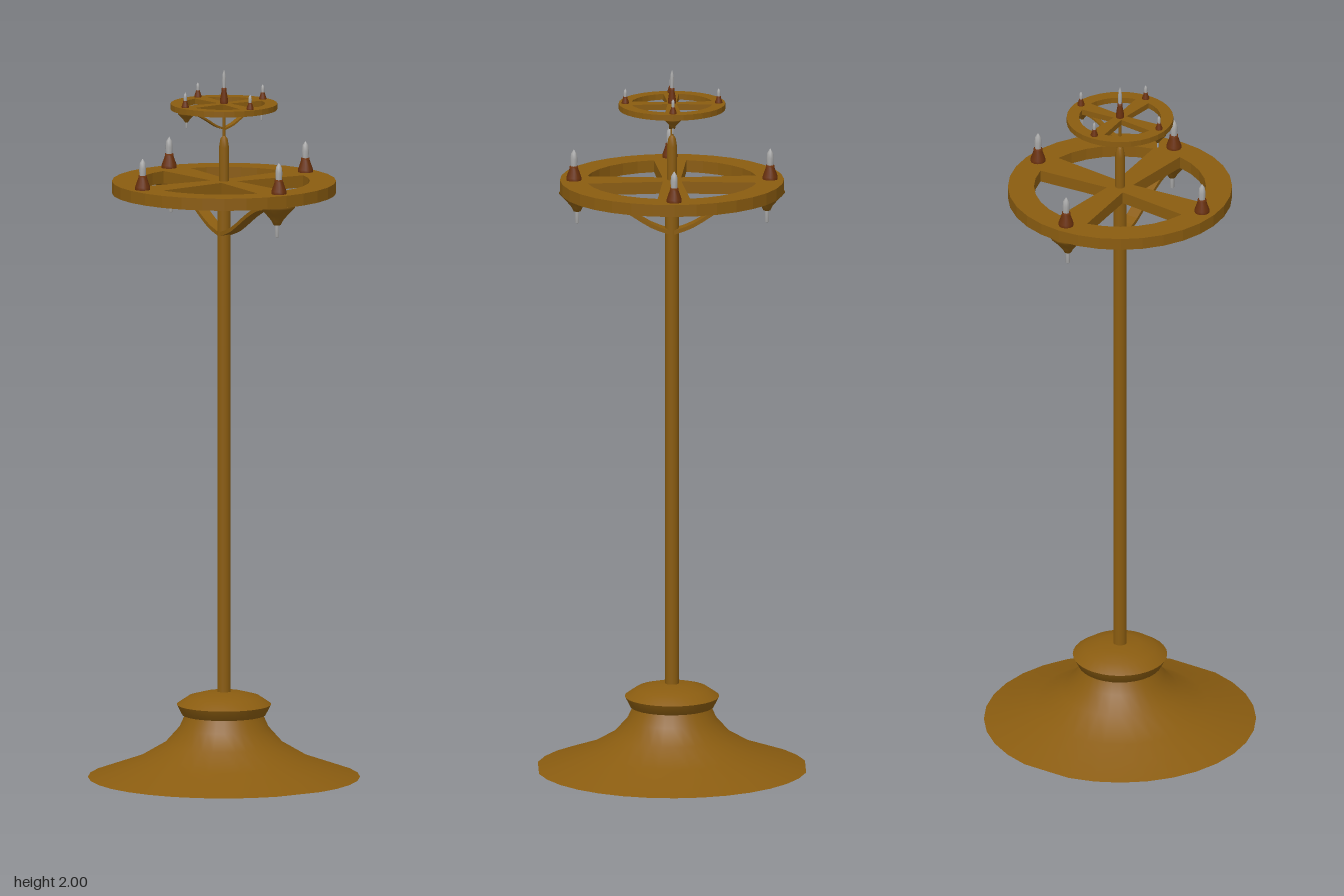
import * as THREE from 'three';

const wood = new THREE.MeshStandardMaterial({ name: 'brownWood', color: 0x8a5c10, side: THREE.DoubleSide });
const rust = new THREE.MeshStandardMaterial({ name: 'redBrownHolder', color: 0x69300c });
const silver = new THREE.MeshStandardMaterial({ name: 'paleGrey', color: 0xa9a9a9 });

function add(parent, name, geometry, material, x = 0, y = 0, z = 0) {
  const mesh = new THREE.Mesh(geometry, material);
  mesh.name = name;
  mesh.position.set(x, y, z);
  parent.add(mesh);
  return mesh;
}

function lathe(points, sides) {
  return new THREE.LatheGeometry(points.map(([r, y]) => new THREE.Vector2(r, y)), sides);
}

// Wheel with a rim and four spokes that widen outwards
function wheelGeometry() {
  const shape = new THREE.Shape().absarc(0, 0, 0.313, 0, Math.PI * 2);
  const edge = Math.atan2(0.045, 0.235);
  for (let i = 0; i < 4; i++) {
    const turn = i * Math.PI / 2;
    const points = [[0.0265, Math.PI / 4 + turn]];
    points[0][0] *= Math.SQRT2;
    for (let k = 0; k <= 6; k++) {
      points.push([0.24, turn + edge + (Math.PI / 2 - 2 * edge) * k / 6]);
    }
    shape.holes.push(new THREE.Path(points.map(([r, a]) =>
      new THREE.Vector2(r * Math.cos(a), r * Math.sin(a)))));
  }
  const geometry = new THREE.ExtrudeGeometry(shape, { depth: 0.034, bevelEnabled: false, curveSegments: 16 });
  return geometry.rotateX(-Math.PI / 2);
}

// Curved flat strut in the zy plane, reaching from the pole to the rim
function braceGeometry() {
  const path = new THREE.SplineCurve([[0, -0.122], [0.06, -0.1], [0.14, -0.05], [0.2, -0.022], [0.27, -0.012]]
    .map(([z, y]) => new THREE.Vector2(z, y)));
  const lower = path.getPoints(12);
  const upper = lower.map(p => new THREE.Vector2(p.x, p.y + 0.012)).reverse();
  const geometry = new THREE.ExtrudeGeometry(new THREE.Shape([...lower, ...upper]),
    { depth: 0.036, bevelEnabled: false });
  return geometry.translate(0, 0, -0.018).rotateY(-Math.PI / 2);
}

const parts = {
  wheel: wheelGeometry(),
  brace: braceGeometry(),
  holder: lathe([[0.021, 0], [0.021, 0.008], [0.012, 0.034], [0.012, 0.04], [0, 0.04]], 12),
  candle: lathe([[0.009, 0.04], [0.01, 0.06], [0.008, 0.076], [0, 0.088]], 8),
  finial: lathe([[0, -0.058], [0.01, -0.055], [0.016, -0.043], [0.032, -0.024], [0.05, -0.006], [0.05, 0]], 14),
  spike: lathe([[0, -0.092], [0.006, -0.088], [0.006, -0.054]], 8),
};

// One wheel with candles above and two braced finials below
function makeTier(name) {
  const tier = new THREE.Group();
  tier.name = name;
  add(tier, 'spokedWheel', parts.wheel, wood);
  for (let i = 0; i < 4; i++) {
    const a = i * Math.PI / 2;
    const x = 0.274 * Math.sin(a), z = 0.274 * Math.cos(a);
    add(tier, 'candleHolder', parts.holder, rust, x, 0.034, z);
    add(tier, 'candle', parts.candle, silver, x, 0.034, z);
  }
  for (const side of [1, -1]) {
    add(tier, 'finial', parts.finial, wood, 0, 0, side * 0.265);
    add(tier, 'finialSpike', parts.spike, silver, 0, 0, side * 0.265);
    add(tier, 'brace', parts.brace, wood).rotation.y = side > 0 ? 0 : Math.PI;
  }
  return tier;
}

export function createModel() {
  const model = new THREE.Group();
  model.name = 'candleStand';

  // Hollow flared foot with a collar; the rim is trimmed flat at front and back
  const foot = lathe([[0.38, 0], [0.245, 0.048], [0.165, 0.095], [0.125, 0.14], [0.108, 0.178]], 32);
  const p = foot.attributes.position;
  for (let i = 0; i < p.count; i++) p.setZ(i, THREE.MathUtils.clamp(p.getZ(i), -0.373, 0.373));
  add(model, 'flaredFoot', foot, wood);
  add(model, 'collar', lathe([[0.108, 0.175], [0.117, 0.176], [0.132, 0.205]], 32), wood);
  add(model, 'collarTop', lathe([[0.132, 0.205], [0.1, 0.227], [0.055, 0.239], [0, 0.242]], 32), wood);

  // Pole, its tapered end and the thin rod to the upper wheel
  add(model, 'pole', new THREE.CylinderGeometry(0.019, 0.019, 1.43, 16), wood, 0, 0.953, 0);
  add(model, 'poleTip', lathe([[0.014, 1.66], [0.014, 1.78], [0.01, 1.805], [0.004, 1.812]], 12), wood);
  add(model, 'thinRod', new THREE.CylinderGeometry(0.004, 0.004, 0.1, 8), wood, 0, 1.85, 0);

  const lower = makeTier('lowerTier');
  lower.position.y = 1.651;
  const upper = makeTier('upperTier');
  upper.position.y = 1.888;
  upper.rotation.y = Math.PI / 2;
  upper.scale.setScalar(0.476);
  model.add(lower, upper);

  // Tall candle in the middle of the upper wheel
  const middle = new THREE.Group();
  middle.name = 'middleCandle';
  middle.position.y = 1.904;
  middle.scale.set(0.55, 1.09, 0.55);
  add(middle, 'candleHolder', parts.holder, rust);
  add(middle, 'candle', parts.candle, silver);
  model.add(middle);
  return model;
}
